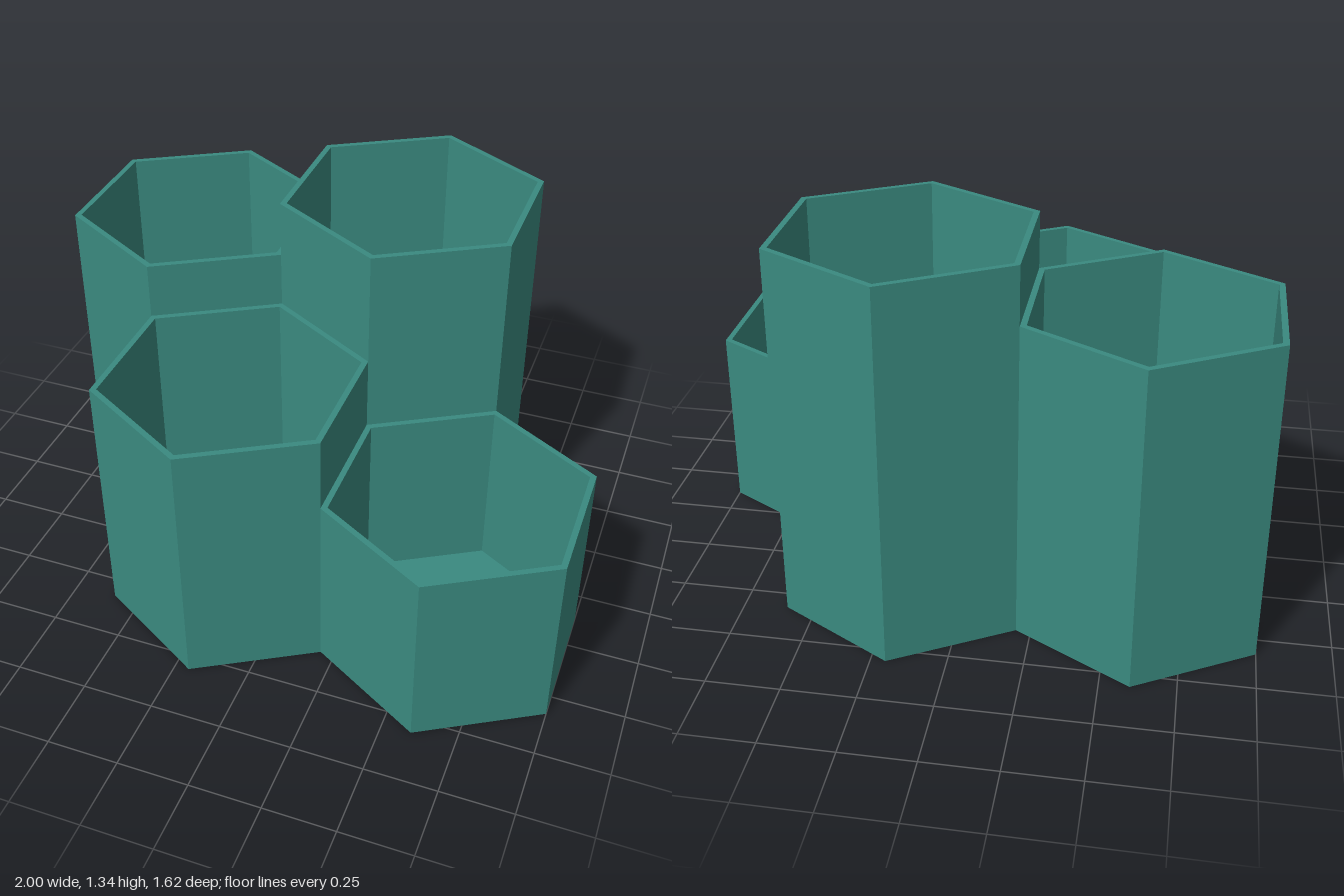
import * as THREE from 'three';

const APOTHEM = 0.4;   // half the width across a cell's flats
const WALL = 0.02;
const FLOOR = 0.02;
const ROW = APOTHEM * Math.sqrt(3) / 2; // z offset of each honeycomb row

const toRadius = (apothem) => apothem / Math.cos(Math.PI / 6);

// Open hexagonal cup: closed wall and floor profile turned in six flat sides
function hexCup(height) {
  const outer = toRadius(APOTHEM);
  const inner = toRadius(APOTHEM - WALL);
  const profile = [
    [0, 0], [outer, 0], [outer, height], [inner, height], [inner, FLOOR], [0, FLOOR],
  ].map(([x, y]) => new THREE.Vector2(x, y));
  const geometry = new THREE.LatheGeometry(profile, 6).toNonIndexed();
  geometry.computeVertexNormals();
  return geometry;
}

export function createModel() {
  const group = new THREE.Group();
  group.name = 'hexagonalOrganizer';

  const teal = new THREE.MeshStandardMaterial({ color: 0x3a8a80 });
  teal.name = 'teal';

  // Four touching cups in two staggered rows: name, x, z, height
  const cups = [
    ['backRightCup', -0.6, -ROW, 1.135],
    ['backLeftCup', 0.2, -ROW, 1.335],
    ['frontRightCup', -0.2, ROW, 0.935],
    ['frontLeftCup', 0.6, ROW, 0.667],
  ];
  for (const [name, x, z, height] of cups) {
    const cup = new THREE.Mesh(hexCup(height), teal);
    cup.name = name;
    cup.position.set(x, 0, z);
    group.add(cup);
  }
  return group;
}
